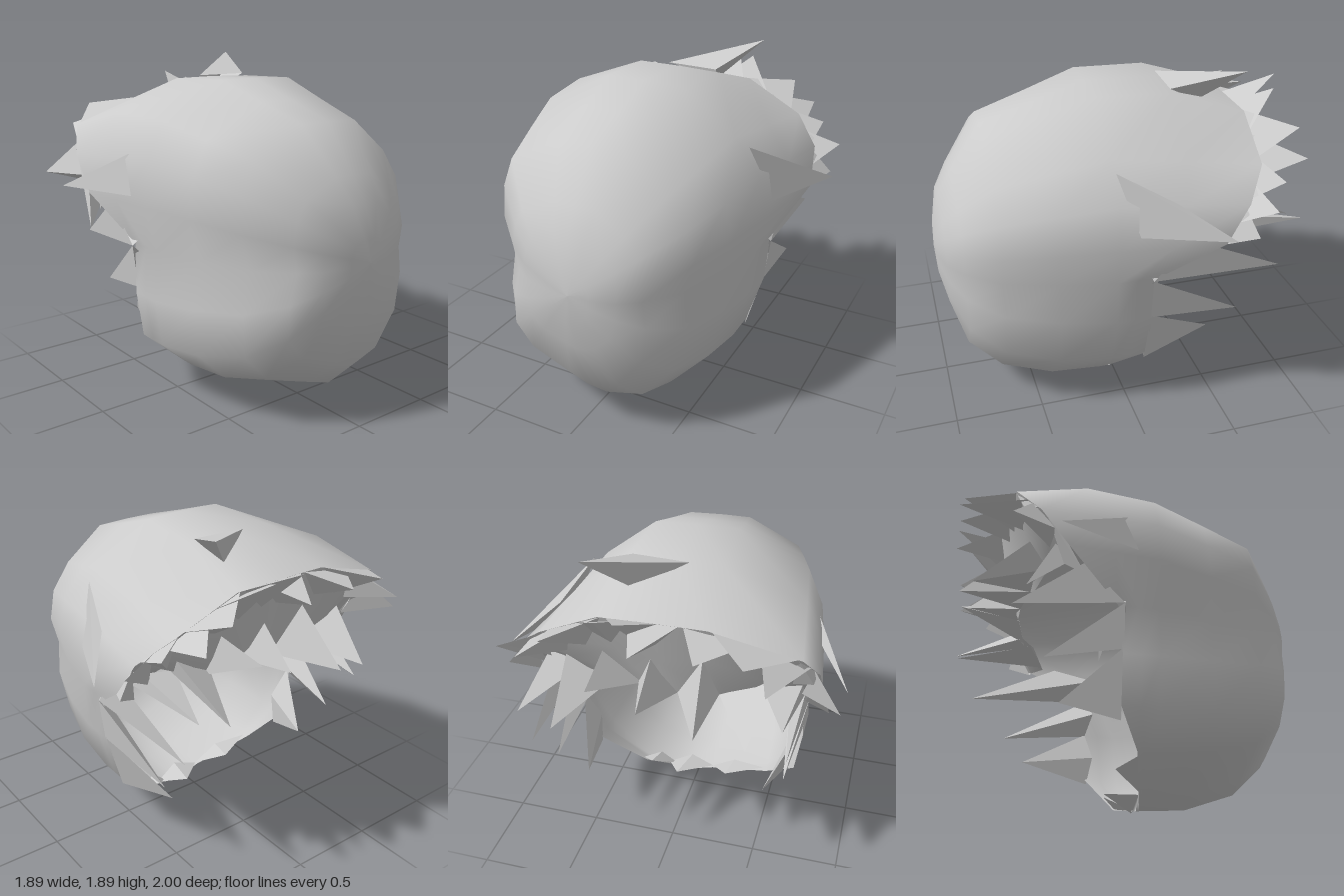
import * as THREE from 'three';

const mat = new THREE.MeshStandardMaterial({ color: 0xcccccc, side: THREE.DoubleSide });
const V = (x, y, z) => new THREE.Vector3(x, y, z);

// Smooth surface through rows of points, optionally closed sideways
function loft(name, rows, closed) {
  const n = rows[0].length, index = [];
  for (let r = 0; r < rows.length - 1; r++) {
    for (let i = 0; i < (closed ? n : n - 1); i++) {
      const a = r * n + i, b = r * n + (i + 1) % n;
      index.push(a, a + n, b, b, a + n, b + n);
    }
  }
  const g = new THREE.BufferGeometry().setFromPoints(rows.flat());
  g.setIndex(index);
  g.computeVertexNormals();
  const m = new THREE.Mesh(g, mat);
  m.name = name;
  return m;
}

// Pointed lock: two outer base corners, an inner corner and a tip
function lock(name, a, b, inner, tip) {
  const g = new THREE.BufferGeometry().setFromPoints([a, b, tip, b, inner, tip, inner, a, tip]);
  g.computeVertexNormals();
  const m = new THREE.Mesh(g, mat);
  m.name = name;
  return m;
}

// Widest outline: x, y, and the z at which each strand ends
const outline = [
  [0, 1.8, -0.74], [0.25, 1.79, -0.74], [0.55, 1.56, -0.7], [0.7, 1.36, -0.58], [0.75, 1.13, -0.45],
  [0.7, 0.91, -0.12], [0.69, 0.65, -0.1], [0.59, 0.33, -0.1], [0.34, 0.08, 0.04], [0.07, 0.01, 0.14],
  [-0.1, 0.06, 0.1], [-0.47, 0.18, 0.02], [-0.66, 0.35, -0.1], [-0.7, 0.62, -0.1], [-0.68, 0.9, -0.12],
  [-0.75, 1.16, -0.4], [-0.72, 1.4, -0.55], [-0.63, 1.61, -0.68], [-0.23, 1.8, -0.74],
];

// Rounded end: scale towards the top, the sides and the bottom, then z
const rings = [
  [0, 0, 0, 1], [0.14, 0.18, 0.18, 0.99], [0.35, 0.38, 0.38, 0.95], [0.5, 0.54, 0.68, 0.87],
  [0.79, 0.76, 0.87, 0.69], [0.89, 0.9, 0.98, 0.4], [1, 1, 1, 0.1],
];

export function createModel() {
  const model = new THREE.Group();

  // Rounded hollow shell, ending in a ragged edge
  const cy = 0.92;
  const rows = rings.map(([top, side, bottom, z]) => outline.map(([x, y]) => {
    const h = (y - cy) / 0.9;
    const s = THREE.MathUtils.lerp(side, h > 0 ? top : bottom, Math.min(1, Math.abs(h)));
    return V(x * s + 0.04 * (1 - s), cy + (y - cy) * s, z);
  }));
  const edge = outline.map(([x, y, z]) => {
    const out = Math.max(0, -z - 0.1);
    return V(x * (1 + out * 0.26), y - Math.max(0, y - 1.2) * out * 0.4, z);
  });
  rows.push(rows[6].map((p, i) => p.clone().lerp(edge[i], 0.5).add(V(0, edge[i].y > 1.5 ? 0.06 : 0, 0))), edge);
  model.add(loft('hairShell', rows, true));

  // Crown edge, running from the right side over the top to the left side
  const arch = [15, 16, 17, 18, 0, 1, 2, 3, 4].map(i => edge[i]);
  const along = (pts, t) => {
    const i = Math.min(Math.floor(t), pts.length - 2);
    return pts[i].clone().lerp(pts[i + 1], t - i);
  };

  // Locks along the crown edge: place on the edge, then tip x, y, z
  const crownTips = [
    [0.3, -0.85, 0.97, -0.32], [0.9, -0.93, 1.25, -0.7], [1.6, -0.78, 1.35, -0.62], [2.0, -0.6, 1.48, -0.98],
    [2.5, -0.49, 1.6, -0.96], [3.0, -0.26, 1.6, -0.98], [4.0, 0.05, 1.6, -1], [4.4, 0.11, 1.77, -1],
    [4.9, 0.23, 1.73, -0.94], [5.4, 0.51, 1.6, -0.97], [5.9, 0.65, 1.48, -0.96], [6.4, 0.77, 1.42, -0.78],
    [7.0, 0.91, 1.33, -0.68], [7.6, 0.89, 1.18, -0.6],
  ];
  for (const [t, x, y, z] of crownTips) {
    const a = along(arch, Math.max(0, t - 0.45)), b = along(arch, Math.min(8, t + 0.45));
    const inner = a.clone().lerp(b, 0.5);
    inner.set(inner.x * 0.9, inner.y - 0.14, inner.z + 0.04);
    model.add(lock('crownLock', a, b, inner, V(x, y, z)));
  }

  // Fringe tucked below the crown edge
  const hem = arch.map((p, i) => V((i - 4) * 0.18, 1.12 + 0.08 * (i % 2), -0.38 - 0.22 * Math.sin(i / 8 * Math.PI)));
  const middle = arch.map((p, i) => p.clone().lerp(hem[i], 0.5));
  model.add(loft('fringe', [arch, middle, hem], false));
  const fringeTips = [
    [0.6, -0.64, 1.0, -0.6], [1.8, -0.5, 1.07, -0.88], [3, -0.25, 1.14, -0.95], [4.2, 0.06, 1.2, -0.9],
    [5.3, 0.3, 1.33, -0.95], [6.3, 0.5, 1.07, -0.96], [7.3, 0.68, 1.14, -0.95],
  ];
  for (const [t, x, y, z] of fringeTips) {
    const a = along(hem, t - 0.6), b = along(hem, t + 0.6);
    model.add(lock('fringeLock', a, b, along(middle, t), V(x, y, z)));
  }

  // Locks down both sides of the opening: base corners y, tip x, y, z
  const sideTips = [[1.12, 0.9, 0.68, 0.86, -0.84], [0.9, 0.65, 0.65, 0.59, -0.62], [0.66, 0.3, 0.52, 0.4, -0.5]];
  for (const s of [1, -1]) {
    for (const [y0, y1, x, y, z] of sideTips) {
      const tz = s > 0 ? z : z * 0.8;
      const wx = v => (v < 0.5 ? 0.59 : v < 0.8 ? 0.69 : 0.72) * s;
      model.add(lock('sideLock', V(wx(y0), y0, y0 > 1 ? -0.3 : -0.09), V(wx(y1), y1, -0.09),
        V(0.6 * s, (y0 + y1) / 2, -0.05), V(x * s, y, tz)));
    }
    // Long lock flaring from the temple
    model.add(lock('templeLock', V(0.63 * s, 1.52, 0.1), V(0.75 * s, 1.2, 0),
      V(0.74 * s, 1.36, -0.2), V(0.945 * s, 1.21, -0.455)));
  }

  // Small locks at the nape and one raised lock on top
  model.add(lock('napeLock', V(-0.1, 0.06, 0.12), V(0.2, 0.03, 0.12), V(0.05, 0.1, 0.15), V(0.1, 0.11, -0.06)));
  model.add(lock('napeLock', V(0.15, 0.03, 0.12), V(0.36, 0.09, 0.05), V(0.25, 0.12, 0.1), V(0.28, 0.14, -0.03)));
  model.add(lock('napeLock', V(-0.45, 0.18, 0.05), V(-0.1, 0.06, 0.12), V(-0.25, 0.16, 0.1), V(-0.22, 0.16, -0.05)));
  model.add(lock('topLock', V(-0.07, 1.79, -0.34), V(0.24, 1.79, -0.32), V(0.18, 1.69, -0.5), V(0.39, 1.9, -0.69)));
  return model;
}
